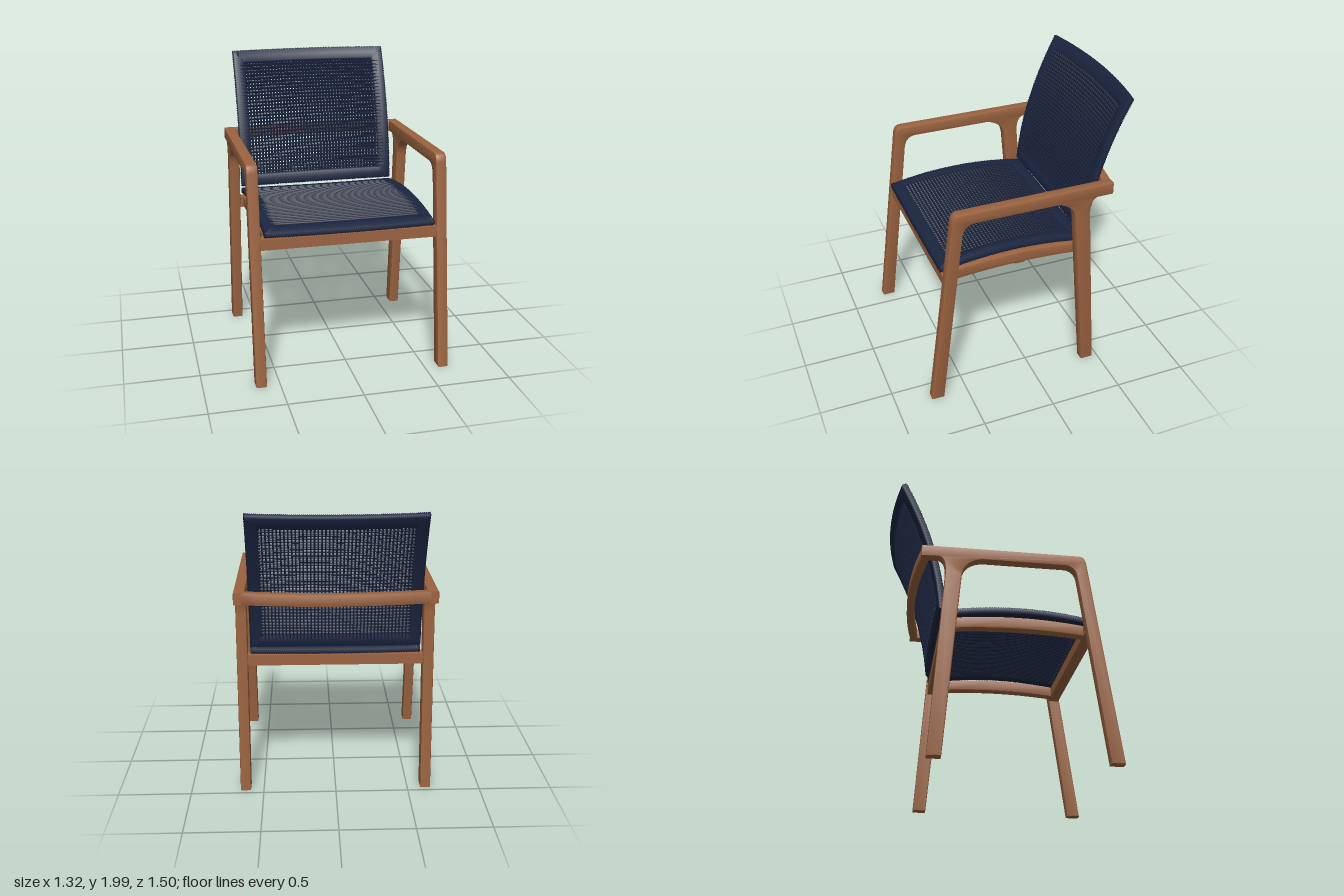
import * as THREE from 'three';
import { mergeGeometries, toCreasedNormals } from 'three/addons/utils/BufferGeometryUtils.js';

const wood = new THREE.MeshStandardMaterial({ color: 0x9b6340 });
wood.name = 'warm wood';
const cord = new THREE.MeshStandardMaterial({ color: 0x1b2540, side: THREE.DoubleSide });
cord.name = 'navy cord';

const BORDER = 0.047; // half width of the wrapped border
const THICK = 0.027; // half thickness of the wrapped border
const PITCH = 0.0235; // spacing of the woven strands

function mesh(name, geometry, material) {
  const m = new THREE.Mesh(geometry, material);
  m.name = name;
  return m;
}

// Skin a row of closed cross-sections, each a list of [x, y, z]
function loft(rings) {
  const k = rings[0].length, index = [];
  for (let i = 0; i < rings.length - 1; i++) {
    for (let j = 0; j < k; j++) {
      const a = i * k + j, b = i * k + (j + 1) % k;
      index.push(a, a + k, b, b, a + k, b + k);
    }
  }
  const g = new THREE.BufferGeometry();
  g.setAttribute('position', new THREE.Float32BufferAttribute(rings.flat(2), 3));
  g.setIndex(index);
  g.computeVertexNormals();
  return g;
}

// Extrude a shape with small eased edges; overall depth and outline stay true
function slab(shape, depth, bevel = 0.008) {
  const g = new THREE.ExtrudeGeometry(shape, {
    depth: depth - 2 * bevel, bevelEnabled: true, bevelSize: bevel, bevelOffset: -bevel,
    bevelThickness: bevel, bevelSegments: 2, curveSegments: 14,
  });
  g.translate(0, 0, bevel);
  return toCreasedNormals(g, 0.6);
}

// Shape drawn in (z, y), given thickness along x and centred there
function sideSlab(shape, depth) {
  return slab(shape, depth).rotateY(-Math.PI / 2).translate(depth / 2, 0, 0);
}

// Legs and armrest of one side in a single outline
function sideFrameShape() {
  const s = new THREE.Shape();
  s.moveTo(0.755, 0);
  s.lineTo(0.572, 1.39);
  s.quadraticCurveTo(0.565, 1.45, 0.52, 1.45);
  s.lineTo(-0.535, 1.45);
  s.lineTo(-0.535, 1.37);
  s.lineTo(-0.42, 1.37);
  s.quadraticCurveTo(-0.375, 1.36, -0.375, 1.26);
  s.lineTo(-0.465, 0);
  s.lineTo(-0.375, 0);
  s.lineTo(-0.27, 1.22);
  s.quadraticCurveTo(-0.265, 1.35, -0.13, 1.37);
  s.lineTo(0.42, 1.37);
  s.quadraticCurveTo(0.495, 1.37, 0.507, 1.28);
  s.lineTo(0.668, 0);
  s.closePath();
  return s;
}

function sideRailShape() {
  const s = new THREE.Shape();
  s.moveTo(0.56, 0.9);
  s.quadraticCurveTo(0.12, 0.945, -0.32, 0.9);
  s.lineTo(-0.32, 0.975);
  s.quadraticCurveTo(0.12, 1.035, 0.56, 0.975);
  s.closePath();
  return s;
}

// Bowed rail joining the armrests behind the back, drawn in (x, z)
function backRailShape() {
  const s = new THREE.Shape();
  s.moveTo(-0.61, -0.535);
  s.quadraticCurveTo(0, -0.645, 0.61, -0.535);
  s.lineTo(0.61, -0.478);
  s.quadraticCurveTo(0, -0.592, -0.61, -0.478);
  s.closePath();
  return s;
}

// Panel surfaces: u runs across, v along, w is the offset from the middle
function seatSurface(u, v, w) {
  const z = (v - 0.125) / 0.51, x = u / 0.57;
  return [u, 1.003 + 0.052 * (1 - z * z) - 0.006 * (1 - x * x) + w, v];
}

function backSurface(u, v, w) {
  const s = Math.max(v - 1, 0), x = u / 0.57;
  const bow = 0.058 * Math.pow(s, 0.7) * (1 - x * x);
  const slope = 0.06 + 0.47 * s, len = Math.hypot(1, slope);
  return [u, v + w * slope / len, -0.38 - 0.06 * s - 0.235 * s * s - bow + w / len];
}

// Four mitred border bars whose alternating sections form the cord wrapping
function wrappedBorder(surface, U, V) {
  const section = [];
  for (let j = 0; j < 10; j++) {
    const a = (j + 0.5) / 10 * Math.PI * 2, c = Math.cos(a), s = Math.sin(a);
    section.push([Math.sign(c) * Math.abs(c) ** 0.5 * BORDER, Math.sign(s) * Math.abs(s) ** 0.6 * THICK]);
  }
  const bars = [];
  for (const alongU of [true, false]) {
    const [a0, a1] = alongU ? U : V;
    const edges = alongU ? V : U;
    const n = 2 * Math.round((a1 - a0) / 0.012);
    edges.forEach((edge, e) => {
      const out = e ? 1 : -1, rings = [];
      for (let i = 0; i <= n; i++) {
        const at = a0 + (a1 - a0) * i / n, r = i % 2 ? 1 : 0.88;
        rings.push(section.map(([c, w]) => {
          const inset = BORDER - c * r;
          const along = THREE.MathUtils.clamp(at, a0 + inset, a1 - inset);
          const cross = edge - out * inset;
          return alongU ? surface(along, cross, w * r) : surface(cross, along, w * r);
        }));
      }
      bars.push(loft(rings));
    });
  }
  return mergeGeometries(bars);
}

// Two layers of crossing strands filling the border
function weave(surface, U, V) {
  const strands = [], hw = 0.0048, ht = 0.006, n = 14, inset = 2 * BORDER;
  const section = [[-hw, -ht], [hw, -ht], [hw, ht], [-hw, ht]];
  for (const layer of [-0.015, 0.015]) {
    for (const alongU of [true, false]) {
      const [a0, a1] = alongU ? U : V;
      const [c0, c1] = alongU ? V : U;
      const start = a0 + BORDER, span = a1 - a0 - 2 * BORDER;
      const width = c1 - c0 - 2 * inset;
      const count = Math.round(width / PITCH);
      const lift = layer + (alongU ? 0.003 : -0.003);
      for (let k = 0; k < count; k++) {
        const cross = c0 + inset + width * (k + 0.5) / count;
        const rings = [];
        for (let i = 0; i <= n; i++) {
          const at = start + span * i / n;
          rings.push(section.map(([c, w]) => alongU
            ? surface(at, cross + c, lift + w) : surface(cross + c, at, lift + w)));
        }
        strands.push(loft(rings));
      }
    }
  }
  return mergeGeometries(strands);
}

function panel(name, surface, U, V) {
  const g = new THREE.Group();
  g.name = name;
  g.add(mesh(name + 'Border', wrappedBorder(surface, U, V), cord));
  g.add(mesh(name + 'Weave', weave(surface, U, V), cord));
  return g;
}

function box(name, w, h, d, y, z) {
  const m = mesh(name, new THREE.BoxGeometry(w, h, d), wood);
  m.position.set(0, y, z);
  return m;
}

export function createModel() {
  const chair = new THREE.Group();
  chair.name = 'armchair';

  // Legs, armrests and arched side rails, one set on each side
  const frame = sideFrameShape(), rail = sideRailShape();
  for (const [label, sign] of [['left', 1], ['right', -1]]) {
    const f = mesh(label + 'LegsAndArmrest', sideSlab(frame, 0.072), wood);
    f.position.x = sign * 0.625;
    const r = mesh(label + 'SeatRail', sideSlab(rail, 0.07), wood);
    r.position.x = sign * 0.53;
    chair.add(f, r);
  }

  // Cross rails
  chair.add(box('frontSeatRail', 1.2, 0.072, 0.075, 0.936, 0.588));
  chair.add(box('rearSeatRail', 1.2, 0.072, 0.075, 0.936, -0.35));
  const back = mesh('backRail', slab(backRailShape(), 0.08, 0.006).rotateX(Math.PI / 2), wood);
  back.position.y = 1.45;
  chair.add(back);

  // Woven panels
  chair.add(panel('seat', seatSurface, [-0.57, 0.57], [-0.39, 0.638]));
  chair.add(panel('backrest', backSurface, [-0.57, 0.57], [1.035, 1.988]));
  return chair;
}
